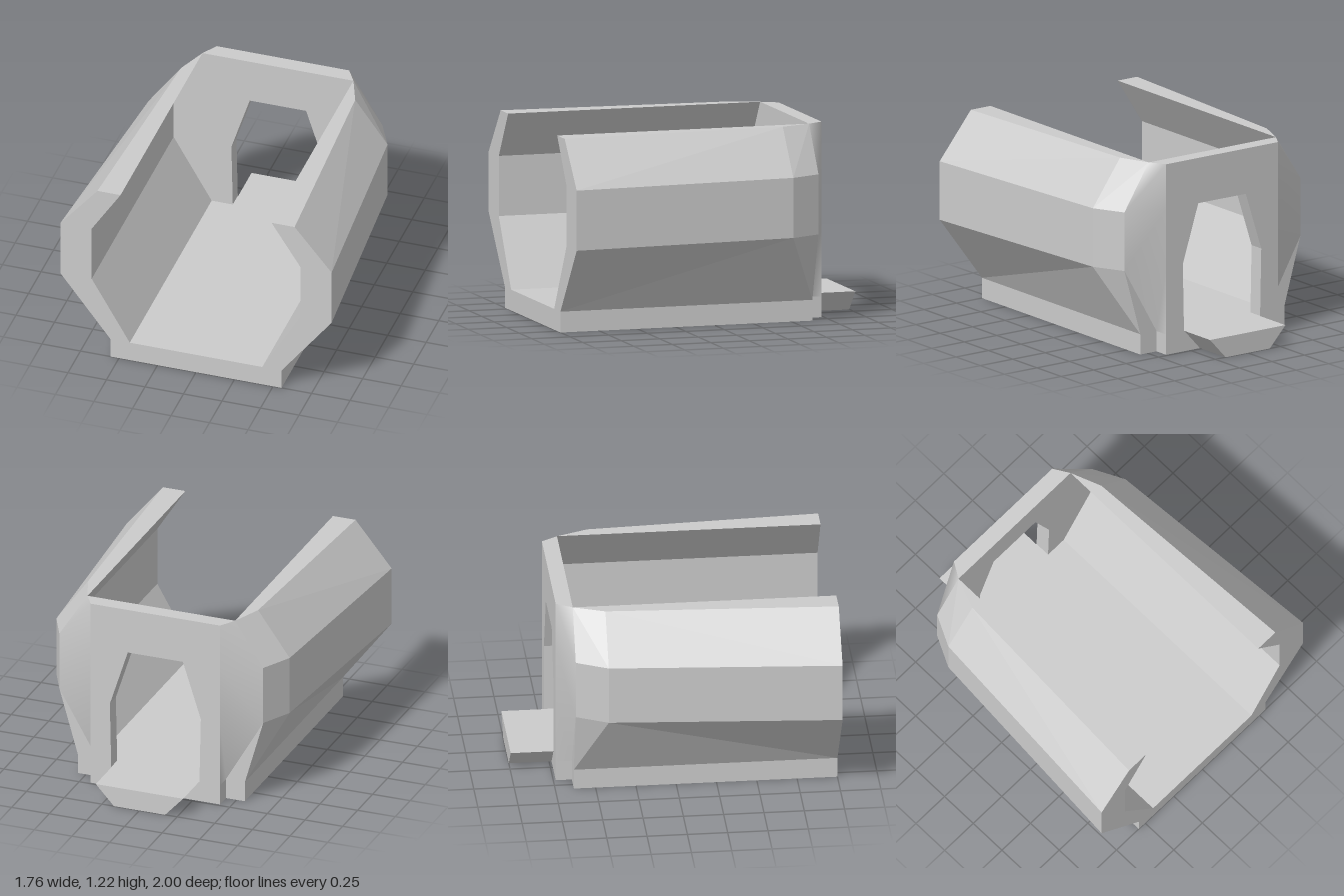
import * as THREE from 'three';

const H = 1.22, FLOOR = 0.13, Z1 = -0.635, Z2 = -0.735; // heights, inner and outer end-wall planes

// Flat pieces are split per face; the smooth rim keeps shared normals
const flat = new THREE.MeshStandardMaterial({ color: 0xcccccc, flatShading: true });
const smooth = new THREE.MeshStandardMaterial({ color: 0xcccccc });

// Surface through rows of [x, y, z] points; s = -1 mirrors it to the other side
function loft(rows, s) {
  const n = rows[0].length, index = [];
  const pos = rows.flat().flatMap(([x, y, z]) => [x * s, y, z]);
  for (let i = 0; i < rows.length - 1; i++) {
    for (let j = 0; j < n - 1; j++) {
      const a = i * n + j, b = a + 1, d = a + n, c = d + 1;
      index.push(...(s > 0 ? [a, d, c, a, c, b] : [a, c, d, a, b, c]));
    }
  }
  const g = new THREE.BufferGeometry();
  g.setAttribute('position', new THREE.Float32BufferAttribute(pos, 3));
  g.setIndex(index);
  g.computeVertexNormals();
  return g;
}
function flatLoft(rows, s) {
  const g = loft(rows, s).toNonIndexed();
  g.computeVertexNormals();
  return g;
}

const shapeOf = pts => new THREE.Shape(pts.map(([x, y]) => new THREE.Vector2(x, y)));
// Closed symmetric outline from its right half, listed upwards
const mirrored = half => [...half, ...half.map(([x, y]) => [-x, y]).reverse()];
const at = (pts, z) => pts.map(([x, y]) => [x, y, z]);

export function createModel() {
  const model = new THREE.Group();
  const add = (name, geometry, material = flat) => {
    const m = new THREE.Mesh(geometry, material);
    m.name = name;
    model.add(m);
  };

  // Half profiles, listed upwards
  const levels = [FLOOR, 0.555, 0.93, H];
  const profile = xs => xs.map((x, i) => [x, levels[i]]);
  const outer = profile([0.555, 0.88, 0.88, 0.64]);
  const waist = profile([0.555, 0.775, 0.775, 0.565]);
  const inner = profile([0.43, 0.677, 0.677, 0.49]);
  const plate = profile([0.43, 0.43, 0.43, 0.43]);
  const door = [[0.293, FLOOR], [0.302, 0.56], [0.183, 0.93]];
  const innerDown = [...inner].reverse();

  // Floor slab, stepped in under the end wall
  const floor = new THREE.ExtrudeGeometry(
    shapeOf(mirrored([[0.555, -1], [0.555, -Z1], [0.43, -Z1], [0.43, -Z2]])),
    { depth: FLOOR, bevelEnabled: false });
  add('floor', floor.rotateX(-Math.PI / 2));

  // Sill beyond the doorway, narrowing downwards
  const sill = new THREE.ExtrudeGeometry(
    shapeOf(mirrored([[0.17, 0], [0.29, FLOOR]])),
    { depth: 1 + Z2, bevelEnabled: false });
  add('doorSill', sill.translate(0, 0, -1));

  // End wall: inside and outside faces with the doorway cut out
  for (const [name, half, z] of [['endWallInside', inner, Z1], ['endWallOutside', plate, Z2]]) {
    // The doorway is open at the floor, so it is a notch in the outline
    const right = [...[...door].reverse(), ...half];
    const left = right.map(([x, y]) => [-x, y]).reverse();
    const g = new THREE.ShapeGeometry(shapeOf([...right, ...left]));
    if (z === Z2) g.rotateY(Math.PI);
    add(name, g.translate(0, 0, z));
  }

  for (const [side, s] of [['left', 1], ['right', -1]]) {
    // Side wall: thick at the front, tapering to nothing at the end wall
    const waistRow = at([...waist, ...innerDown], -0.44);
    waistRow[0][2] = Z1;
    add(side + 'Wall', flatLoft([
      at([...outer, ...innerDown], 1),
      waistRow,
      at([...inner, ...innerDown], Z1),
    ], s));

    // Front edge of the side wall
    const cap = shapeOf([...outer, ...innerDown].map(([x, y]) => [x * s, y]));
    add(side + 'WallFrontEdge', new THREE.ShapeGeometry(cap).translate(0, 0, 1));

    // Sloped rim joining the side wall to the back plate, and its top
    add(side + 'EndRim', loft([at(inner, Z1), at(plate, Z2)], s), smooth);
    add(side + 'EndWallTop', flatLoft([
      at([[0.49, H], [0, H]], Z1), at([[0.43, H], [0, H]], Z2),
    ], s));

    // Doorway reveal through the end wall
    const reveal = [[0, 0.93], ...[...door].reverse()];
    add(side + 'DoorReveal', flatLoft([at(reveal, Z1), at(reveal, Z2)], s));
  }

  return model;
}
